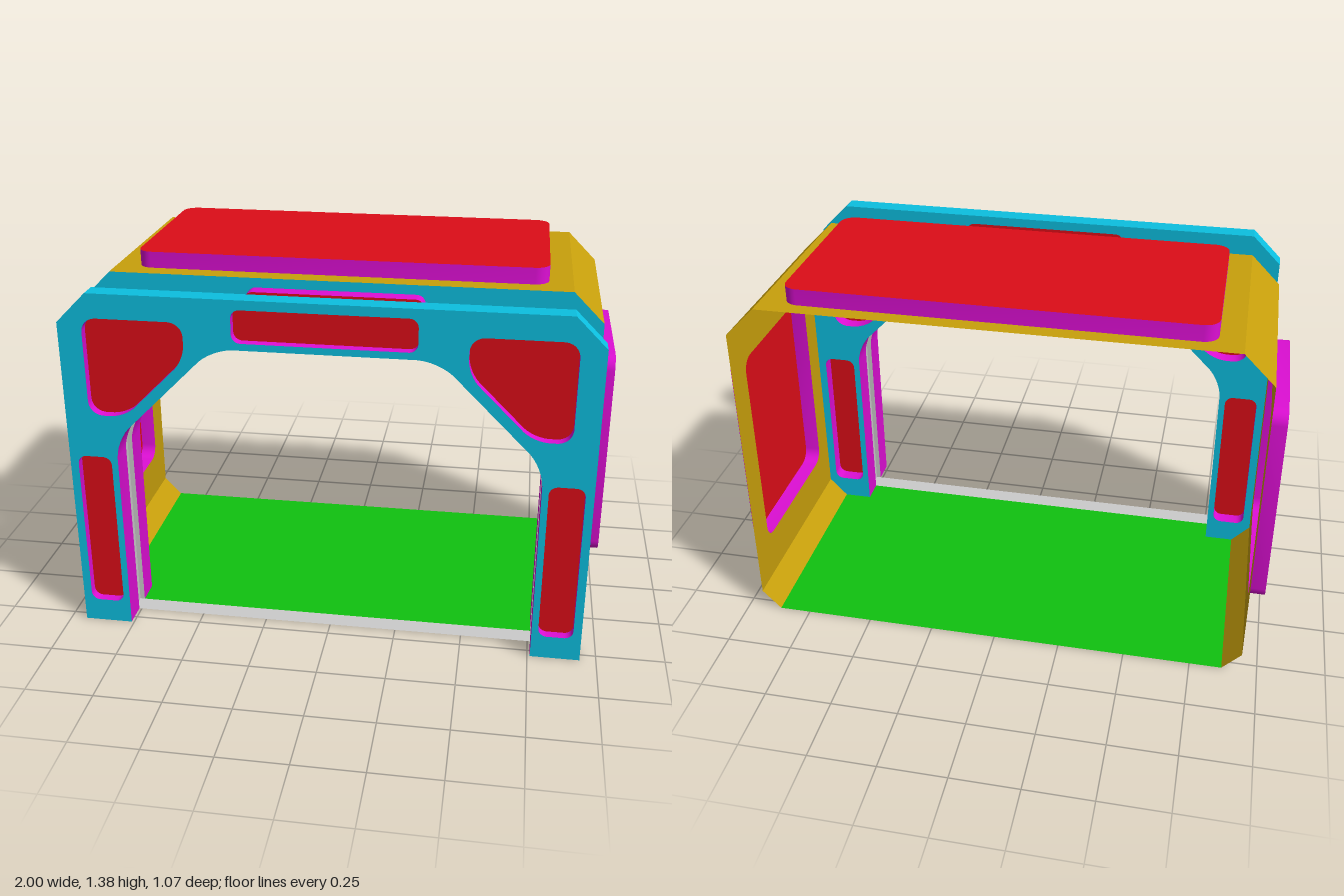
import * as THREE from 'three';
import { toCreasedNormals } from 'three/addons/utils/BufferGeometryUtils.js';

const mat = (color) => new THREE.MeshStandardMaterial({ color, side: THREE.DoubleSide });

// Depth stations along z
const BACK = -0.535, WALL = 0.275, SEAL0 = 0.37, SEAL1 = 0.44, PLATE = 0.465, FRONT = 0.535;

// Points [x, y, corner cut] -> outline with softened corners
function soften(points, closed = true) {
  const out = [], n = points.length;
  points.forEach(([x, y, r = 0], i) => {
    const p = new THREE.Vector2(x, y);
    if (!r || (!closed && (i === 0 || i === n - 1))) { out.push(p); return; }
    const toward = (q) => new THREE.Vector2(q[0], q[1]).sub(p).setLength(r).add(p);
    const a = toward(points[(i + n - 1) % n]), b = toward(points[(i + 1) % n]);
    const c = p.clone().lerp(a.clone().add(b).multiplyScalar(0.5), 0.15);
    out.push(...new THREE.CubicBezierCurve(a, a.clone().lerp(c, 0.6), b.clone().lerp(c, 0.6), b).getPoints(6));
  });
  return out;
}

const mirrorX = (pts) => pts.map(([x, y, r]) => [-x, y, r]).reverse();
const box = (cx, cy, hx, hy, r = 0) =>
  [[cx - hx, cy - hy, r], [cx + hx, cy - hy, r], [cx + hx, cy + hy, r], [cx - hx, cy + hy, r]];

// Flat sheet with holes at height z
function sheet(outline, holes, z) {
  const shape = new THREE.Shape(outline);
  holes.forEach((h) => shape.holes.push(new THREE.Path(h)));
  return new THREE.ShapeGeometry(shape).translate(0, 0, z);
}

// Band following a path from z0 to z1
function ribbon(path, z0, z1, closed = false) {
  const pos = [], n = path.length;
  for (let i = 0; i < (closed ? n : n - 1); i++) {
    const a = path[i], b = path[(i + 1) % n];
    pos.push(a.x, a.y, z0, b.x, b.y, z0, b.x, b.y, z1, a.x, a.y, z0, b.x, b.y, z1, a.x, a.y, z1);
  }
  const g = new THREE.BufferGeometry();
  g.setAttribute('position', new THREE.Float32BufferAttribute(pos, 3));
  g.computeVertexNormals();
  return toCreasedNormals(g, 0.6);
}

// Door opening, grown outward by d
function opening(d = 0) {
  const half = [[0.76 + d, 0], [0.76 + d, 0.77 + 0.41 * d, 0.07], [0.39 + 0.41 * d, 1.14 + d, 0.07]];
  return [...half, ...mirrorX(half)];
}

export function createModel() {
  const model = new THREE.Group();
  const gold = mat(0xc8a00c), magenta = mat(0xdd0fd4), cyan = mat(0x0cbfe0);
  const red = mat(0xdd0d18), green = mat(0x10c210), grey = mat(0xcccccc);
  const add = (parent, name, geometry, material) => {
    const m = new THREE.Mesh(geometry, material);
    m.name = name;
    parent.add(m);
    return m;
  };
  // Red panel joined to its sheet by a magenta rim
  const panel = (parent, name, outline, z0, z1, capZ = z1) => {
    const g = new THREE.Group();
    g.name = name;
    add(g, 'panelFace', sheet(outline, [], capZ), red);
    add(g, 'panelRim', ribbon(outline, z0, z1, true), magenta);
    parent.add(g);
  };

  // Panel layout shared by both arches
  const leg = box(0.847, 0.395, 0.063, 0.305, 0.03);
  const corner = [[0.852, 0.865, 0.05], [0.852, 1.23, 0.05], [0.49, 1.23, 0.05],
    [0.49, 1.095, 0.05], [0.72, 0.865, 0.05]];
  const archPanels = [box(0, 1.225, 0.32, 0.06, 0.03), leg, corner, mirrorX(leg), mirrorX(corner)]
    .map((p) => soften(p));

  // Front arch with panels sunk from both faces
  const frontArch = new THREE.Group();
  frontArch.name = 'frontArch';
  model.add(frontArch);
  const outer = [[0.94, 0], [0.94, 1.21], [0.83, 1.32], [-0.83, 1.32], [-0.94, 1.21], [-0.94, 0]];
  const archOutline = soften([...outer, ...opening().reverse()]);
  add(frontArch, 'archFront', sheet(archOutline, archPanels, FRONT), cyan);
  add(frontArch, 'archBack', sheet(archOutline, archPanels, PLATE), cyan);
  add(frontArch, 'archEdge', ribbon(soften([[0.76, 0], ...outer, [-0.76, 0]], false), PLATE, FRONT), cyan);
  archPanels.forEach((p) => panel(frontArch, 'sunkenPanel', p, PLATE, FRONT, 0.5));

  // Inner arch closing the body, with panels pushed forward
  const innerArch = new THREE.Group();
  innerArch.name = 'innerArch';
  model.add(innerArch);
  const innerOutline = soften([[0.87, 0], [0.94, 0.075], ...outer.slice(1, 5),
    [-0.94, 0.075], [-0.87, 0], ...opening().reverse()]);
  add(innerArch, 'archSheet', sheet(innerOutline, archPanels, WALL), cyan);
  archPanels.forEach((p) => panel(innerArch, 'raisedPanel', p, WALL, 0.33));

  // Door jambs and the seal groove between them
  const jamb = soften(opening(), false), groove = soften(opening(0.018), false);
  add(model, 'innerJamb', ribbon(jamb, WALL, SEAL0), magenta);
  add(model, 'outerJamb', ribbon(jamb, SEAL1, FRONT), magenta);
  add(model, 'seal', ribbon(groove, SEAL0, SEAL1), grey);
  const step = [...groove, ...[...jamb].reverse()];
  [SEAL0, SEAL1].forEach((z) => add(model, 'sealStep', sheet(step, [], z), grey));

  // Side walls with raised panels
  const midZ = (BACK + WALL) / 2, halfZ = (WALL - BACK) / 2;
  for (const s of [1, -1]) {
    const wall = new THREE.Group();
    wall.name = s > 0 ? 'leftWall' : 'rightWall';
    wall.rotation.y = s * Math.PI / 2;
    wall.position.z = midZ;
    const hole = soften(box(-s * 0.0075, 0.65, 0.2975, 0.4, 0.05));
    add(wall, 'wallSheet', sheet(soften(box(0, 0.6425, halfZ, 0.5675)), [hole], 0.94), gold);
    panel(wall, 'wallPanel', hole, 0.94, 1);
    model.add(wall);
    // Sloping strips above and below the wall
    add(model, 'upperChamfer', ribbon(soften([[s * 0.94, 1.21], [s * 0.83, 1.32]]), BACK, WALL), gold);
    add(model, 'lowerChamfer', ribbon(soften([[s * 0.94, 0.075], [s * 0.87, 0]]), BACK, WALL), gold);
  }

  // Roof with raised panel
  const roof = new THREE.Group();
  roof.name = 'roof';
  roof.rotation.x = -Math.PI / 2;
  roof.position.z = midZ;
  const roofHole = soften(box(0, 0.005, 0.745, 0.34, 0.05));
  add(roof, 'roofSheet', sheet(soften(box(0, 0, 0.83, halfZ)), [roofHole], 1.32), gold);
  panel(roof, 'roofPanel', roofHole, 1.32, 1.38);
  model.add(roof);

  // Floor, doorway floor and threshold
  const floor = (name, hx, z0, z1, m) =>
    add(model, name, ribbon(soften([[-hx, 0], [hx, 0]]), z0, z1), m);
  floor('floor', 0.87, BACK, WALL, green);
  floor('doorwayFloor', 0.76, WALL, SEAL0, green);
  floor('threshold', 0.778, SEAL0, SEAL1, grey);

  // Soles under the front arch legs
  for (const s of [1, -1]) {
    add(frontArch, 'sole', ribbon(soften([[s * 0.76, 0], [s * 0.94, 0]]), PLATE, FRONT), cyan);
  }
  return model;
}
